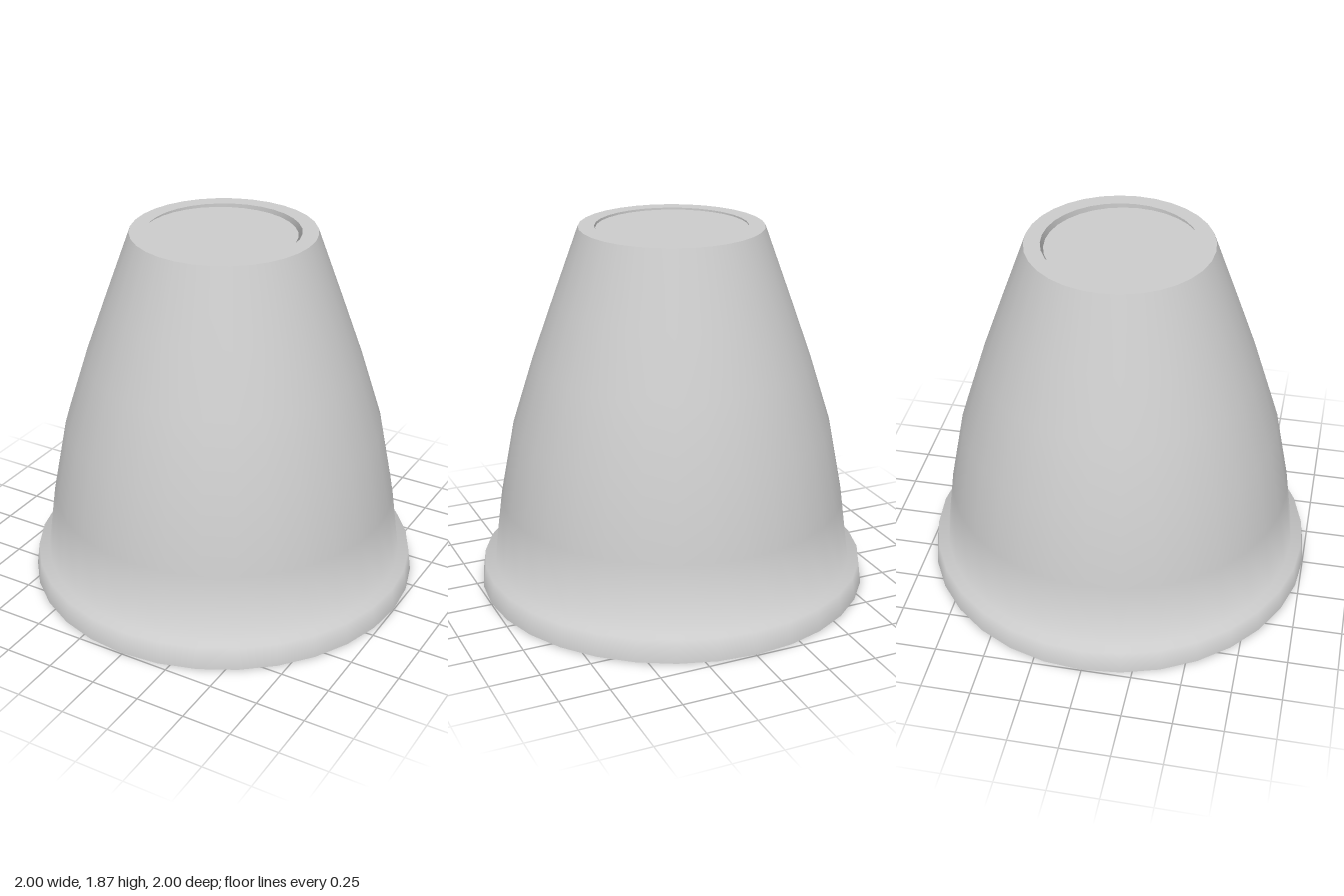
import * as THREE from 'three';

const SIDES = 32;
const material = new THREE.MeshStandardMaterial({ color: 0xcccccc });

// One smooth surface of revolution from [radius, height] pairs
function turned(name, profile) {
  const points = profile.map(([r, y]) => new THREE.Vector2(r, y));
  const mesh = new THREE.Mesh(new THREE.LatheGeometry(points, SIDES), material);
  mesh.name = name;
  return mesh;
}

export function createModel() {
  const group = new THREE.Group();
  group.name = 'flaredCup';

  // Rim lip and tapering outer wall, smoothed together
  const ledgeY = 0.12;
  const outer = turned('outerWallAndRim', [
    [1, 0.005], [0.985, ledgeY], [0.93, ledgeY], [0.885, 0.46],
    [0.81, 0.85], [0.7, 1.2], [0.59, 1.51], [0.46, 1.87],
  ]);
  // Soft shading across the ledge: normals lean halfway up
  const { position: outerPos, normal } = outer.geometry.attributes;
  for (let i = 0; i < outerPos.count; i++) {
    if (Math.abs(outerPos.getY(i) - ledgeY) < 0.001) {
      const n = new THREE.Vector3(outerPos.getX(i), 0, outerPos.getZ(i)).normalize();
      n.y = 1;
      n.normalize();
      normal.setXYZ(i, n.x, n.y, n.z);
    }
  }
  group.add(outer);

  // Flat ring around the top and slightly sloped underside of the rim
  group.add(turned('topRing', [[0.46, 1.87], [0.38, 1.87]]));
  group.add(turned('rimUnderside', [[0.85, 0], [1, 0.005]]));

  // Straight conical hollow with its ceiling
  group.add(turned('innerWall', [[0.38, 1.0], [0.85, 0]]));
  group.add(turned('innerCeiling', [[0, 1.0], [0.38, 1.0]]));

  // Shallow recess in the top, its floor shifted a little off centre
  const floorY = 1.855, shiftX = -0.012, shiftZ = 0.018;
  const recessWall = turned('recessWall', [[0.38, 1.87], [0.38, floorY]]);
  const position = recessWall.geometry.attributes.position;
  for (let i = 0; i < position.count; i++) {
    if (position.getY(i) < floorY + 0.005) {
      position.setX(i, position.getX(i) + shiftX);
      position.setZ(i, position.getZ(i) + shiftZ);
    }
  }
  const recessFloor = turned('recessFloor', [[0.38, floorY], [0, floorY]]);
  recessFloor.position.set(shiftX, 0, shiftZ);
  group.add(recessWall, recessFloor);

  return group;
}
